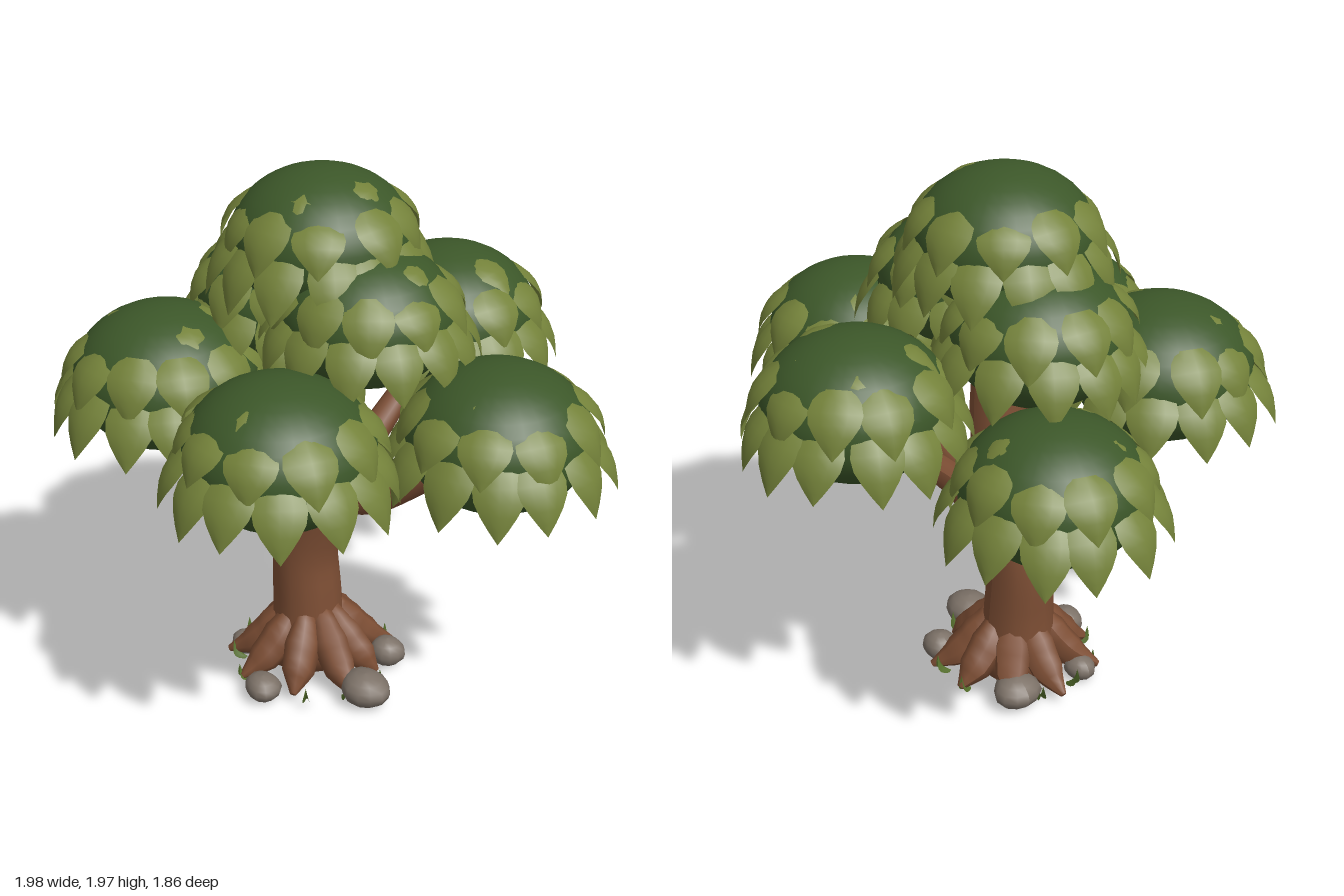
import * as THREE from 'three';
import { mergeGeometries } from 'three/addons/utils/BufferGeometryUtils.js';

const mat = (name, color, side = THREE.FrontSide) => {
  const m = new THREE.MeshStandardMaterial({ color, side });
  m.name = name;
  return m;
};

// Small seeded random source
let seed = 7;
const rnd = (a, b) => {
  seed = (seed * 16807) % 2147483647;
  return a + (b - a) * (seed / 2147483647);
};

// Closed limb swept along points [x, y, z, radius]
function limb(points, sides = 10, steps = 12) {
  const curve = new THREE.CatmullRomCurve3(points.map(p => new THREE.Vector3(p[0], p[1], p[2])), false, 'centripetal');
  const frames = curve.computeFrenetFrames(steps, false);
  const pos = [], idx = [];
  const ring = (i, scale) => {
    const t = i / steps, c = curve.getPoint(t);
    const f = t * (points.length - 1), k = Math.min(Math.floor(f), points.length - 2);
    const r = scale * THREE.MathUtils.lerp(points[k][3], points[k + 1][3], f - k);
    // frames are sampled by arc length, close enough to the even parameter here
    for (let j = 0; j <= sides; j++) {
      const a = (j / sides) * Math.PI * 2;
      const v = c.clone()
        .addScaledVector(frames.normals[i], Math.cos(a) * r)
        .addScaledVector(frames.binormals[i], Math.sin(a) * r);
      pos.push(v.x, v.y, v.z);
    }
  };
  ring(0, 0);
  for (let i = 0; i <= steps; i++) ring(i, 1);
  ring(steps, 0);
  const w = sides + 1;
  for (let i = 0; i < steps + 2; i++)
    for (let j = 0; j < sides; j++) {
      const a = i * w + j, b = a + w;
      idx.push(a, a + 1, b, a + 1, b + 1, b);
    }
  const g = new THREE.BufferGeometry();
  g.setAttribute('position', new THREE.Float32BufferAttribute(pos, 3));
  g.setIndex(idx);
  g.computeVertexNormals();
  return g;
}

// One cupped, pointed leaf from base (r0, y0) to tip (r1, y1), turned to an angle
const outline = [0.55, 0.88, 1, 0.93, 0.68, 0.36, 0];
function leaf(r0, y0, r1, y1, halfWidth, bulge, angle) {
  const pos = [], idx = [], n = outline.length - 1;
  const len = Math.hypot(r1 - r0, y1 - y0);
  const nr = (y0 - y1) / len, ny = (r1 - r0) / len;
  outline.forEach((o, i) => {
    const t = i / n, lift = bulge * Math.sin(Math.PI * t);
    for (let u = -1; u <= 1; u += 0.5) {
      const h = lift - 0.022 * u * u * o;
      pos.push(r0 + (r1 - r0) * t + nr * h, y0 + (y1 - y0) * t + ny * h, u * halfWidth * o);
    }
  });
  for (let i = 0; i < n; i++)
    for (let j = 0; j < 4; j++) {
      const a = i * 5 + j, b = a + 5;
      idx.push(a, a + 1, b, a + 1, b + 1, b);
    }
  const g = new THREE.BufferGeometry();
  g.setAttribute('position', new THREE.Float32BufferAttribute(pos, 3));
  g.setIndex(idx);
  g.computeVertexNormals();
  return g.rotateY(angle);
}

// Leaf rows: count, base radius/height, tip radius/height, half width, bulge
const rows = [
  [13, 0.29, 0.05, 0.40, -0.18, 0.088, 0.035],
  [10, 0.245, 0.16, 0.355, -0.03, 0.09, 0.035],
  [5, 0.09, 0.225, 0.275, 0.105, 0.085, 0.035],
];

export function createModel() {
  const model = new THREE.Group();
  model.name = 'tree';
  const bark = mat('bark brown', 0x7d4e34);
  const foliage = mat('deep foliage green', 0x3c5729);
  const leafGreen = mat('leaf green', 0x74823a, THREE.DoubleSide);
  const stone = mat('stone grey', 0x7d7268);
  const grass = mat('grass green', 0x56702c, THREE.DoubleSide);
  const add = (parent, name, geo, material) => {
    const m = new THREE.Mesh(geo, material);
    m.name = name;
    parent.add(m);
    return m;
  };

  // Leaning trunk
  add(model, 'trunk', limb([
    [-0.13, 0.04, 0.09, 0.145], [-0.135, 0.28, 0.09, 0.13], [-0.14, 0.52, 0.09, 0.122],
    [-0.07, 0.8, 0.07, 0.112], [-0.03, 1.1, 0.06, 0.098], [-0.05, 1.45, 0.05, 0.07],
  ], 14, 20), bark);

  // Branches reaching the five outer crowns
  const branches = {
    leftLowBranch: [[-0.12, 0.65, 0.06, 0.055], [-0.25, 0.69, 0.03, 0.055], [-0.46, 0.81, -0.03, 0.048], [-0.55, 1.0, -0.07, 0.036]],
    frontLeftBranch: [[-0.16, 0.55, 0.13, 0.06], [-0.17, 0.66, 0.19, 0.066], [-0.19, 0.86, 0.29, 0.055], [-0.35, 1.12, 0.46, 0.038]],
    frontRightBranch: [[-0.06, 0.75, 0.1, 0.055], [0.02, 0.8, 0.18, 0.058], [0.18, 0.9, 0.4, 0.05], [0.24, 1.1, 0.48, 0.036]],
    rightBranch: [[-0.06, 0.74, 0.05, 0.05], [0.14, 0.8, 0.01, 0.055], [0.36, 0.96, -0.07, 0.045], [0.55, 1.1, -0.13, 0.034]],
    backBranch: [[-0.11, 0.58, 0.05, 0.06], [-0.1, 0.7, -0.03, 0.068], [-0.09, 0.88, -0.16, 0.056], [-0.1, 1.14, -0.44, 0.038]],
  };
  for (const [name, pts] of Object.entries(branches)) add(model, name, limb(pts), bark);

  // Spreading roots
  const roots = new THREE.Group();
  roots.name = 'roots';
  model.add(roots);
  for (let i = 0; i < 9; i++) {
    const a = (i / 9) * Math.PI * 2 + 0.25 + rnd(-0.1, 0.1), c = Math.cos(a), s = Math.sin(a);
    const R = rnd(0.27, 0.33);
    const at = (r, y, w) => [-0.11 + c * r, y, 0.09 + s * r, w];
    add(roots, 'root', limb([at(0.07, 0.28, 0.035), at(0.13, 0.18, 0.068), at(0.21, 0.1, 0.06), at(R, 0.05, 0.012)], 8, 9), bark);
  }

  // Rounded stones: x, z, radii
  const stones = [
    [0.22, 0.1, 0.1, 0.062, 0.085], [-0.03, 0.38, 0.075, 0.05, 0.065], [0.08, -0.12, 0.07, 0.055, 0.065],
    [-0.32, -0.04, 0.085, 0.06, 0.09], [-0.31, 0.25, 0.06, 0.045, 0.055],
  ];
  for (const [x, z, a, b, c] of stones) {
    const g = new THREE.SphereGeometry(1, 12, 8), p = g.attributes.position;
    for (let i = 0; i < p.count; i++) {
      const k = 1 + 0.07 * Math.sin(3 * p.getX(i) + 20 * x) * Math.cos(3 * p.getZ(i) + 9 * z);
      p.setXYZ(i, p.getX(i) * k, p.getY(i), p.getZ(i) * k);
    }
    g.scale(a, b, c).translate(x, b + 0.012, z);
    g.computeVertexNormals();
    add(model, 'stone', g, stone);
  }

  // Little grass blades around the base
  const blades = [];
  for (let i = 0; i < 12; i++) {
    const a = (i / 12) * Math.PI * 2 + 0.3;
    blades.push(leaf(0.25, 0.03, 0.3, rnd(0.08, 0.11), 0.014, -0.012, a).translate(-0.09, 0, 0.1));
  }
  add(model, 'grassBlades', mergeGeometries(blades), grass);

  // Domed crowns: name, centre, size
  const crowns = [
    ['frontLeftCrown', -0.36, 1.26, 0.52, 1], ['frontRightCrown', 0.28, 1.225, 0.51, 1],
    ['rightCrown', 0.6, 1.2, -0.15, 0.99], ['leftCrown', -0.61, 1.085, -0.1, 0.99],
    ['backCrown', -0.1, 1.295, -0.54, 1], ['upperLeftCrown', -0.28, 1.47, 0.06, 0.97],
    ['upperRightCrown', 0.15, 1.53, 0.04, 0.95], ['topCrown', -0.07, 1.74, 0.06, 0.98],
  ];
  crowns.forEach(([name, x, y, z, size], k) => {
    const crown = new THREE.Group();
    crown.name = name;
    crown.position.set(x, y, z);
    crown.scale.setScalar(size);
    model.add(crown);
    add(crown, 'foliageDome', new THREE.SphereGeometry(1, 28, 18).scale(0.32, 0.25, 0.32), foliage);
    const leaves = [];
    rows.forEach(([n, r0, y0, r1, y1, w, bulge], row) => {
      for (let i = 0; i < n; i++) {
        const angle = ((i + row * 0.5) / n) * Math.PI * 2 + k * 1.3 + rnd(-0.06, 0.06);
        leaves.push(leaf(r0, y0 + rnd(-0.01, 0.01), r1 + rnd(-0.012, 0.012), y1 + rnd(-0.015, 0.015), w, bulge, angle));
      }
    });
    add(crown, 'leaves', mergeGeometries(leaves), leafGreen);
  });
  return model;
}
